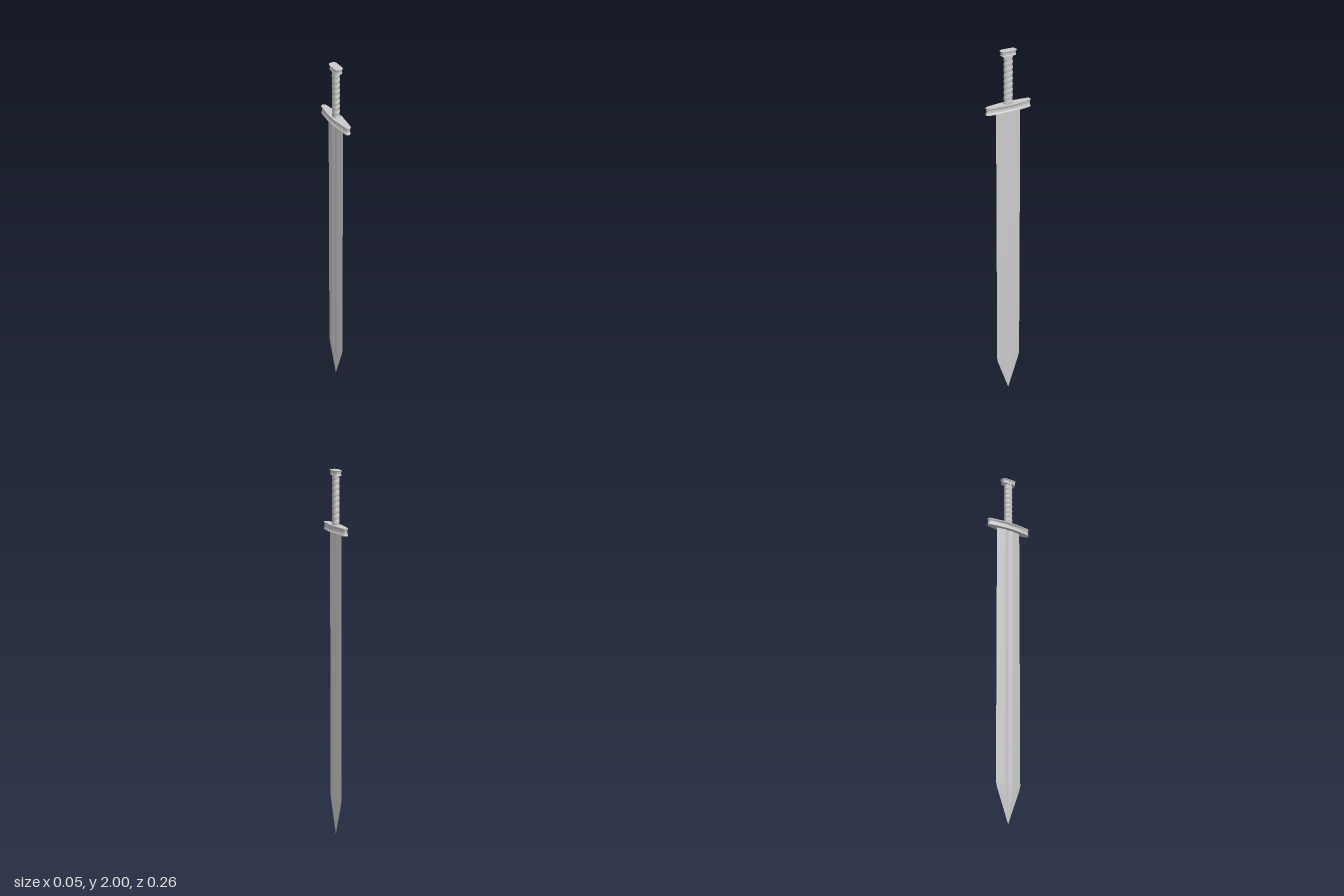
import * as THREE from 'three';
import { toCreasedNormals } from 'three/addons/utils/BufferGeometryUtils.js';

// Skins a stack of rings (bottom to top, each a loop of [x, y, z]) and caps both ends.
function loft(rings, crease = 0.6) {
  const n = rings[0].length, pos = [], index = [];
  rings.forEach(r => r.forEach(p => pos.push(...p)));
  for (let i = 0; i < rings.length - 1; i++) {
    for (let j = 0; j < n; j++) {
      const k = (j + 1) % n, a = i * n + j, b = i * n + k;
      index.push(a, a + n, b, b, a + n, b + n);
    }
  }
  [0, rings.length - 1].forEach((r, top) => {
    const c = pos.length / 3, ring = rings[r];
    pos.push(0, ring.reduce((s, p) => s + p[1], 0) / n, 0);
    for (let j = 0; j < n; j++) {
      const a = r * n + j, b = r * n + (j + 1) % n;
      index.push(...(top ? [c, b, a] : [c, a, b]));
    }
  });
  const geo = new THREE.BufferGeometry();
  geo.setAttribute('position', new THREE.Float32BufferAttribute(pos, 3));
  geo.setIndex(index);
  return toCreasedNormals(geo, crease);
}

// Mirrors a quarter outline (from +x side to +z end) into a full loop.
function mirrorQuarter(q) {
  const rev = [...q].reverse();
  return [...q, ...rev.map(([x, z]) => [-x, z]), ...q.map(([x, z]) => [-x, -z]), ...rev.map(([x, z]) => [x, -z])];
}

// Bar with a hollowed side wall between two rims.
function hollowBar(outline, y0, y1, inX, inZ, bottomScale = 1, crown = 0) {
  const levels = [[0, 0], [0.14, 0], [0.22, 0.55], [0.36, 0.9], [0.5, 1], [0.64, 0.9], [0.78, 0.55], [0.86, 0], [1, 0]];
  return loft(levels.map(([t, d]) => {
    const s = THREE.MathUtils.lerp(bottomScale, 1, t);
    return outline.map(([x, z]) => [x * s * (1 - inX * d), y0 + (y1 - y0) * t - (t === 1 ? crown : 0), z * s * (1 - inZ * d)]);
  }));
}

export function createModel() {
  const group = new THREE.Group();
  const material = new THREE.MeshStandardMaterial({ color: 0xcccccc });
  const add = (name, geo) => {
    const mesh = new THREE.Mesh(geo, material);
    mesh.name = name;
    group.add(mesh);
  };

  // Blade: bevelled edges, shallow central groove, tapering to a point
  const section = [[0.005, 0], [0.008, 0.022], [0.007, 0.03], [0, 0.072],
    [-0.007, 0.03], [-0.008, 0.022], [-0.005, 0], [-0.008, -0.022], [-0.007, -0.03], [0, -0.072],
    [0.007, -0.03], [0.008, -0.022]];
  const bladeLevels = [[0, 0.01, 0.02], [0.1, 0.5, 0.55], [0.18, 0.9, 0.9], [0.21, 1, 1], [1.69, 1, 1]];
  add('blade', loft(bladeLevels.map(([y, w, d]) => section.map(([x, z]) => [x * d, y, z * w])), 0.05));

  // Crossguard: long tapered bar with rounded ends
  const guard = mirrorQuarter([[0.026, 0.018], [0.0235, 0.045], [0.015, 0.115], [0.013, 0.123], [0.009, 0.128], [0.004, 0.131]]);
  add('crossguard', hollowBar(guard, 1.677, 1.717, 0.22, 0.03));

  // Grip: oval core with a spiral wrapping
  const turns = 9, sides = 32, steps = 108, y0 = 1.71, y1 = 1.977;
  const grip = [];
  for (let i = 0; i <= steps; i++) {
    const t = i / steps, ring = [];
    for (let j = 0; j < sides; j++) {
      const a = j / sides * Math.PI * 2;
      const bulge = Math.abs(Math.sin(Math.PI * t * turns + a / 2));
      const r = 0.84 + 0.16 * Math.sqrt(bulge);
      ring.push([Math.cos(a) * 0.018 * r, y0 + (y1 - y0) * t, Math.sin(a) * 0.025 * r]);
    }
    grip.push(ring);
  }
  add('grip', loft(grip, 0.7));

  // Pommel: small rounded block, slightly narrower below, with a faint crown
  const pommel = mirrorQuarter([[0.0215, 0.012], [0.02, 0.03], [0.0175, 0.038], [0.013, 0.043], [0.004, 0.044]]);
  add('pommel', hollowBar(pommel, 1.972, 2, 0.15, 0.08, 0.9, 0.001));

  return group;
}
